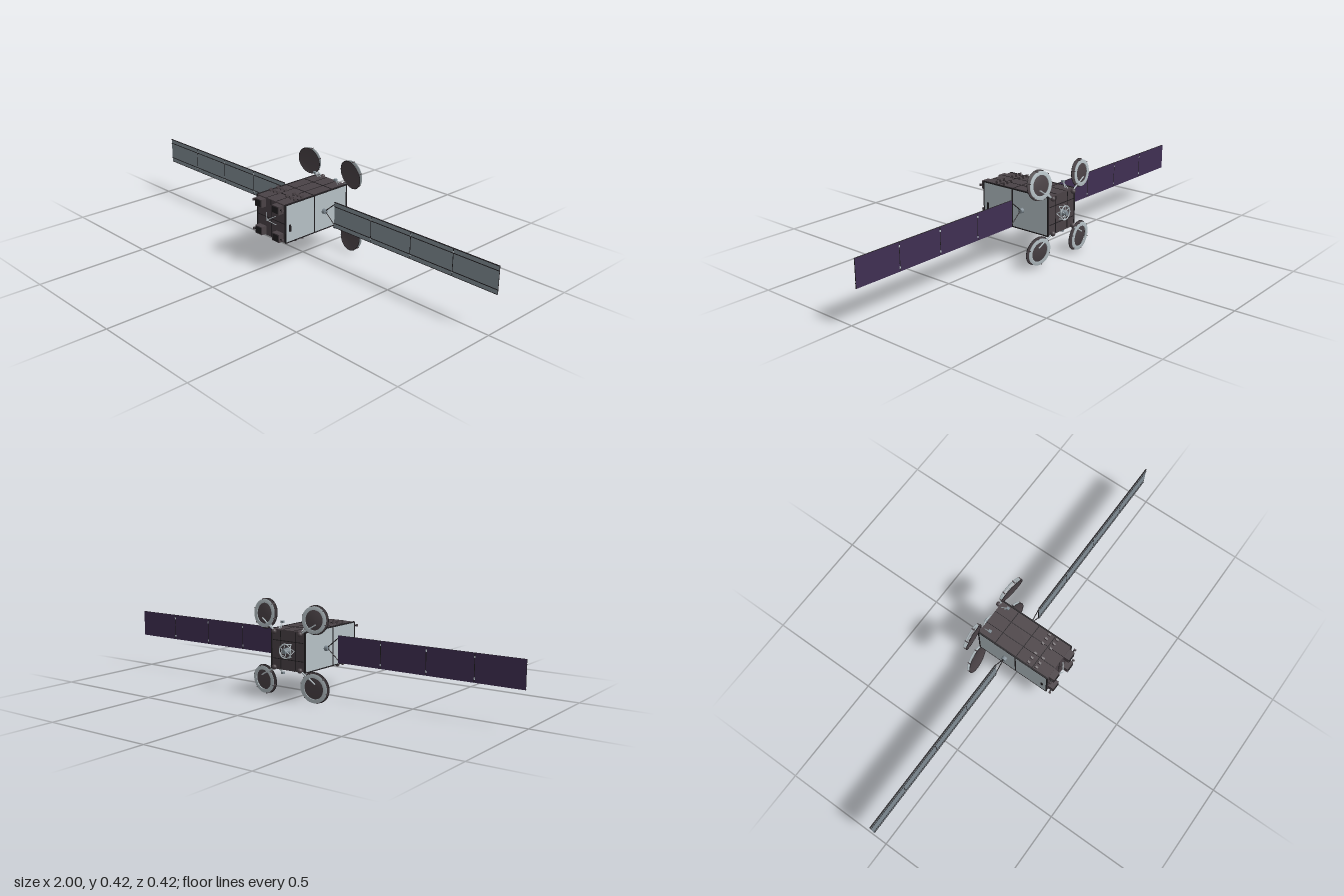
import * as THREE from 'three';

const mat = (name, color, side = THREE.FrontSide) => {
  const m = new THREE.MeshStandardMaterial({ color, side });
  m.name = name;
  return m;
};

export function createModel() {
  const dark = mat('dark blanket', 0x4a4246);
  const black = mat('black trim', 0x201d20);
  const light = mat('pale radiator', 0xb6c1c6);
  const grey = mat('panel grey', 0x7f8b93);
  const purple = mat('solar cell purple', 0x3f2f52);
  const shell = mat('dish shell', 0x4a4246, THREE.DoubleSide);
  const root = new THREE.Group();
  root.name = 'satellite';
  const CY = 0.21, PZ = -0.037;

  const add = (name, geo, m, x = 0, y = 0, z = 0, parent = root) => {
    const mesh = new THREE.Mesh(geo, m);
    mesh.name = name;
    mesh.position.set(x, y, z);
    parent.add(mesh);
    return mesh;
  };
  const box = (name, w, h, d, m, x, y, z, parent) =>
    add(name, new THREE.BoxGeometry(w, h, d), m, x, y, z, parent);
  // Thin round strut between two points
  const strut = (name, a, b, r, m, parent) => {
    const A = new THREE.Vector3(...a), B = new THREE.Vector3(...b);
    const dir = B.clone().sub(A);
    const s = add(name, new THREE.CylinderGeometry(r, r, dir.length(), 6), m, 0, 0, 0, parent);
    s.position.copy(A).add(B).multiplyScalar(0.5);
    s.quaternion.setFromUnitVectors(new THREE.Vector3(0, 1, 0), dir.normalize());
    return s;
  };

  // Main body with pale side radiators and dark frame
  box('body', 0.174, 0.17, 0.355, dark, 0, CY, 0.002);
  for (const s of [-1, 1]) {
    box('sideRadiator', 0.004, 0.163, 0.347, light, s * 0.088, CY, 0.003);
    box('sideSeam', 0.006, 0.165, 0.005, black, s * 0.0885, CY, 0.017);
    box('sideWindow', 0.005, 0.032, 0.01, black, s * 0.089, 0.188, 0.156);
    for (const v of [-1, 1]) {
      box('edgeRail', 0.007, 0.005, 0.358, black, s * 0.0875, CY + v * 0.084, 0.002);
      box('endPost', 0.007, 0.17, 0.005, black, s * 0.0875, CY, 0.002 + v * 0.177);
    }
  }
  // Blanket seams on top and bottom, rows of small angled units
  for (const v of [-1, 1]) {
    const y = CY + v * 0.0855;
    for (const z of [-0.09, 0.017, 0.1])
      box('blanketSeam', 0.172, 0.002, 0.003, black, 0, y, z);
    for (const x of [-0.03, 0.03])
      box('blanketSeamLong', 0.002, 0.002, 0.35, black, x, y, 0.002);
    for (const x of [-0.075, -0.052, -0.027, 0.027, 0.052, 0.075])
      for (const z of [0.075, 0.115]) {
        const u = box('angledUnit', 0.008, 0.013, 0.013, dark, x, CY + v * 0.091, z);
        u.rotation.x = v * 0.3;
      }
  }

  // Front face: four corner boxes, seams and small sensors
  for (const s of [-1, 1]) for (const v of [-1, 1]) {
    box('cornerBox', 0.042, 0.036, 0.027, dark, s * 0.054, CY + v * 0.062, 0.192);
    box('cornerBoxLid', 0.034, 0.028, 0.003, black, s * 0.054, CY + v * 0.062, 0.2055);
    box('sensorArm', 0.016, 0.004, 0.006, black, s * 0.082, CY + v * 0.066, 0.196);
    box('sensorHead', 0.006, 0.01, 0.01, dark, s * 0.09, CY + v * 0.066, 0.198);
    strut('frontBrace', [s * 0.03, CY + v * 0.02, 0.18], [0, CY, 0.204], 0.0015, light);
  }
  box('frontSeam', 0.17, 0.003, 0.002, black, 0, CY, 0.18);
  box('frontSeamUpright', 0.003, 0.165, 0.002, black, 0, CY, 0.18);

  // Back face: framed panels and engine on a pale truss
  for (const v of [-0.03, 0.03]) {
    box('backSeam', 0.16, 0.003, 0.003, black, 0, CY + v * 1.3, -0.176);
    box('backSeamUpright', 0.003, 0.16, 0.003, black, v * 1.3, CY, -0.176);
  }
  for (let i = 0; i < 6; i++) {
    const p = (k, r, z) => [Math.cos(k * Math.PI / 3) * r, CY + Math.sin(k * Math.PI / 3) * r, z];
    strut('engineStrut', p(i, 0.032, -0.176), p(i + 0.5, 0.03, -0.197), 0.0018, light);
    strut('engineStrut', p(i + 1, 0.032, -0.176), p(i + 0.5, 0.03, -0.197), 0.0018, light);
    strut('engineSpoke', p(i + 0.5, 0.03, -0.196), p(i, 0.01, -0.2), 0.0015, light);
  }
  add('engineRing', new THREE.TorusGeometry(0.03, 0.0025, 6, 24), light, 0, CY, -0.197);
  const nozzle = add('engineNozzle', new THREE.CylinderGeometry(0.009, 0.014, 0.03, 16), grey, 0, CY, -0.193);
  nozzle.rotation.x = -Math.PI / 2;
  for (const s of [-1, 1]) for (const v of [-1, 1])
    add('hingeBall', new THREE.SphereGeometry(0.011, 12, 8), dark, s * 0.068, CY + v * 0.076, -0.185);

  // Solar wings: hub, forked yoke and four hinged panels each
  for (const s of [-1, 1]) {
    const wing = new THREE.Group();
    wing.name = s > 0 ? 'leftWing' : 'rightWing';
    wing.position.set(0, CY + 0.003, PZ);
    root.add(wing);
    const hub = add('wingHub', new THREE.CylinderGeometry(0.011, 0.012, 0.016, 8), grey, s * 0.097, -0.003, 0, wing);
    hub.rotation.z = -s * Math.PI / 2;
    for (const v of [-1, 1])
      strut('yoke', [s * 0.1, 0, 0], [s * 0.16, v * 0.05, 0], 0.002, black, wing);
    const w = 0.209, start = 0.156;
    for (let i = 0; i < 4; i++) {
      const x = s * (start + 0.211 * i + w / 2 + 0.001);
      const faces = [black, black, black, black, grey, purple];
      add('solarPanel', new THREE.BoxGeometry(w, 0.116, 0.004), faces, x, 0, 0, wing);
      for (const v of [-1, 1]) {
        box('panelCable', w, 0.003, 0.002, black, x, v * 0.038, 0.0025, wing);
        box('panelEdge', w, 0.002, 0.002, black, x, v * 0.057, 0.0025, wing);
        if (i) box('panelHinge', 0.006, 0.008, 0.006, light, s * (start + 0.211 * i), v * 0.042, 0, wing);
      }
      if (i) box('panelJoint', 0.003, 0.112, 0.0045, black, s * (start + 0.211 * i), 0, 0, wing);
    }
  }

  // Shallow reflector and the pale stiffening ring behind it
  const lathe = (pts) => new THREE.LatheGeometry(pts.map(p => new THREE.Vector2(...p)), 32).rotateX(Math.PI / 2);
  const dish = (x, y, z, r, pitch, yaw) => {
    const g = new THREE.Group();
    g.name = 'reflector';
    g.position.set(x, y, z);
    g.rotation.set(pitch, yaw, 0);
    root.add(g);
    const bowl = [];
    for (let i = 0; i <= 6; i++) bowl.push([r * i / 6, 0.009 * (i / 6) ** 2 - 0.006]);
    add('reflectorBowl', lathe(bowl), shell, 0, 0, 0, g);
    add('reflectorRim', new THREE.TorusGeometry(r - 0.001, 0.0014, 6, 32), black, 0, 0, 0.003, g);
    const back = new THREE.Group();
    back.name = 'backingRing';
    back.position.z = -0.011;
    back.rotation.x = -pitch * 0.35;
    g.add(back);
    const a = r * 0.68, b = r * 0.93;
    add('ringPlate', lathe([[a, -0.002], [b, -0.002], [b, 0.002], [a, 0.002], [a, -0.002]]),
      light, 0, 0, 0, back);
    for (let i = 0; i < 6; i++) {
      const t = i * Math.PI / 3 + 0.3, c = Math.cos(t), n = Math.sin(t);
      strut('ringClip', [c * b, n * b, -0.003], [c * r * 0.96, n * r * 0.96, 0.012], 0.0025, dark, back);
    }
    // Deployment arms down to the body corner, and a feed bracket in front
    const sx = Math.sign(x), sy = Math.sign(y - CY);
    for (const o of [-1, 1])
      strut('reflectorArm', [sx * 0.07, CY + sy * 0.078, -0.181],
        [x + sx * o * 0.022 - sx * 0.012, y - sy * (0.03 - o * 0.012), z - 0.014], 0.003, light);
    strut('feedPost', [sx * 0.06, CY + sy * 0.083, -0.15], [sx * 0.064, CY + sy * 0.108, -0.134], 0.002, light);
    strut('feedPost', [sx * 0.06, CY + sy * 0.083, -0.165], [sx * 0.064, CY + sy * 0.108, -0.134], 0.002, light);
    box('feedHead', 0.012, 0.009, 0.012, grey, sx * 0.064, CY + sy * 0.11, -0.132);
  };
  dish(0.129, 0.354, -0.16, 0.0645, 0.15, -0.12);
  dish(-0.134, 0.35, -0.167, 0.061, 0.1, 0.1);
  dish(0.135, 0.071, -0.16, 0.064, -0.13, -0.12);
  dish(-0.131, 0.067, -0.165, 0.067, -0.1, 0.1);
  return root;
}
